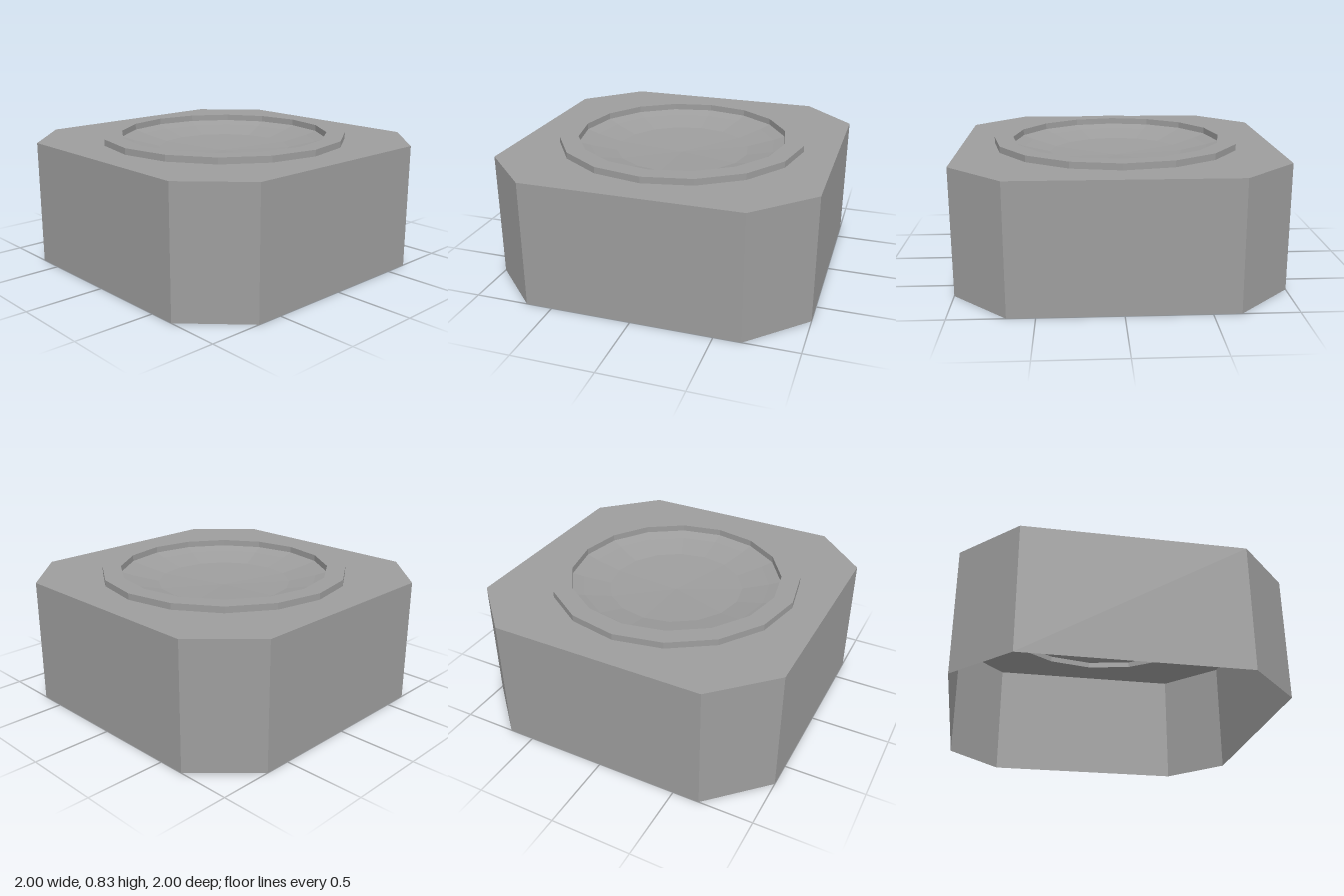
import * as THREE from 'three';

const HALF = 1, CUT = 0.665, TOP = 0.79, RIM = 0.83;
const OUTER = 0.793, INNER = 0.673, SIDES = 16;

const material = new THREE.MeshStandardMaterial({
  color: 0x9d9d9d, flatShading: true, side: THREE.DoubleSide,
});

function addMesh(group, name, geometry) {
  const mesh = new THREE.Mesh(geometry, material);
  mesh.name = name;
  group.add(mesh);
  return mesh;
}

// Faceted turned part from [radius, height] pairs
function turned(profile) {
  return new THREE.LatheGeometry(profile.map(([r, y]) => new THREE.Vector2(r, y)), SIDES);
}

export function createModel() {
  const group = new THREE.Group();

  // Square with cut corners, counter-clockwise
  const outline = [
    [HALF, -CUT], [HALF, CUT], [CUT, HALF], [-CUT, HALF],
    [-HALF, CUT], [-HALF, -CUT], [-CUT, -HALF], [CUT, -HALF],
  ];

  // Eight side walls, open at the bottom
  const walls = new THREE.Group();
  walls.name = 'walls';
  outline.forEach(([x0, z0], i) => {
    const [x1, z1] = outline[(i + 1) % outline.length];
    const wall = addMesh(walls, 'wall', new THREE.PlaneGeometry(Math.hypot(x1 - x0, z1 - z0), TOP));
    const x = (x0 + x1) / 2, z = (z0 + z1) / 2;
    wall.position.set(x, TOP / 2, z);
    wall.rotation.y = Math.atan2(x, z);
  });
  group.add(walls);

  // Top plate with a sixteen-sided opening
  const plate = new THREE.Shape(outline.map(([x, z]) => new THREE.Vector2(x, z)));
  const hole = [];
  for (let i = 0; i < SIDES; i++) {
    const a = -i / SIDES * Math.PI * 2;
    hole.push(new THREE.Vector2(OUTER * Math.cos(a), OUTER * Math.sin(a)));
  }
  plate.holes.push(new THREE.Path(hole));
  const plateGeometry = new THREE.ShapeGeometry(plate);
  plateGeometry.rotateX(-Math.PI / 2).translate(0, TOP, 0);
  addMesh(group, 'topPlate', plateGeometry);

  // Raised rim around the opening
  addMesh(group, 'rim', turned([[OUTER, TOP], [OUTER, RIM], [INNER, RIM], [INNER, TOP]]));

  // Shallow dish sunk inside the rim
  addMesh(group, 'dish', turned([[INNER, TOP], [0.6, 0.768], [0.43, 0.73], [0, 0.705]]));

  return group;
}
